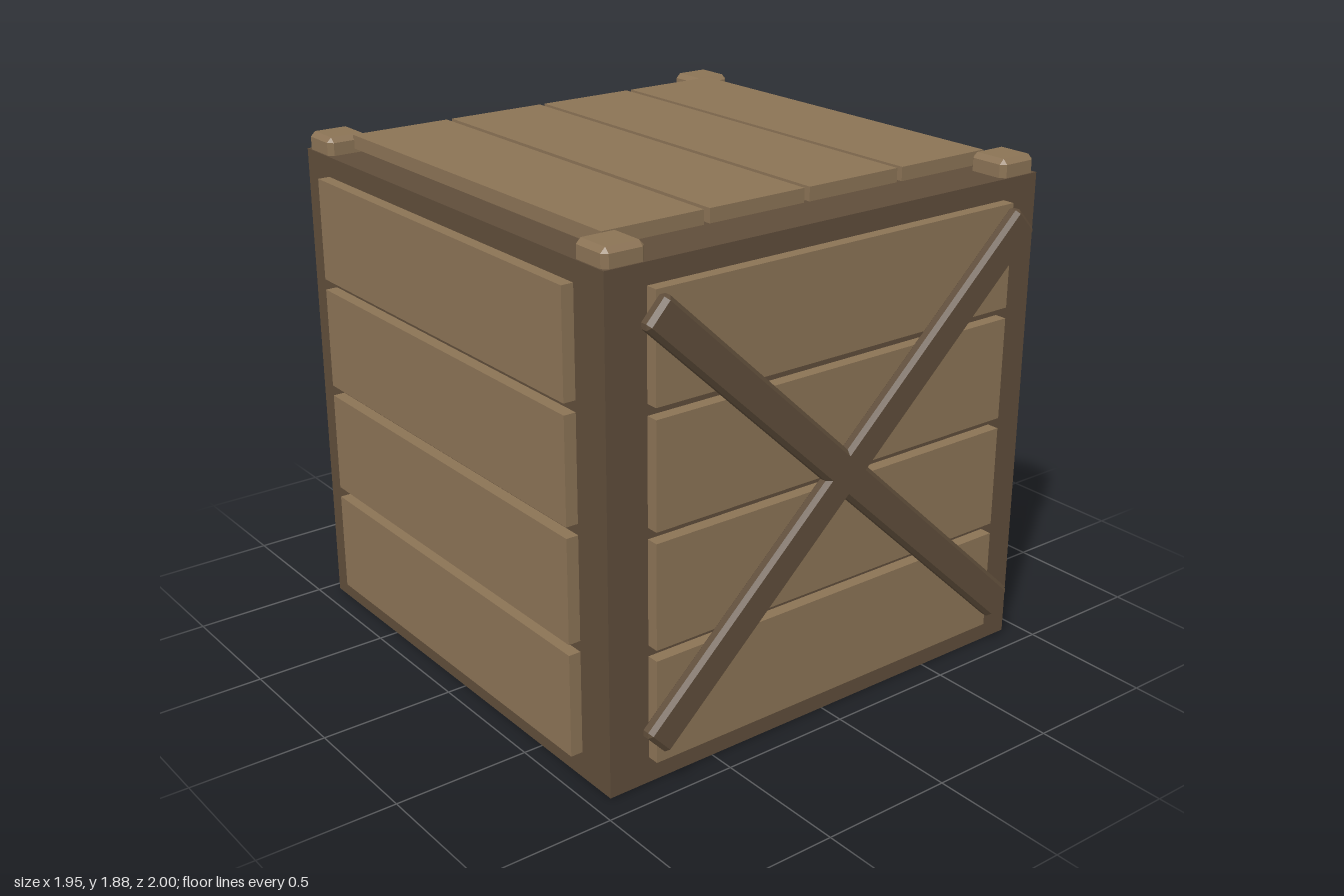
import * as THREE from 'three';
import { ConvexGeometry } from 'three/addons/geometries/ConvexGeometry.js';

// Box with all edges cut by a flat chamfer c
function chamferBox(w, h, d, c) {
  const half = [w / 2, h / 2, d / 2];
  const points = [];
  for (const sx of [-1, 1]) for (const sy of [-1, 1]) for (const sz of [-1, 1]) {
    for (let axis = 0; axis < 3; axis++) {
      const p = half.map((v, i) => (i === axis ? v : v - c));
      points.push(new THREE.Vector3(p[0] * sx, p[1] * sy, p[2] * sz));
    }
  }
  return new ConvexGeometry(points);
}

export function createModel() {
  const lightWood = new THREE.MeshStandardMaterial({ color: 0x8b7355 });
  lightWood.name = 'lightWood';
  const darkWood = new THREE.MeshStandardMaterial({ color: 0x5f4d3a });
  darkWood.name = 'darkWood';

  const crate = new THREE.Group();
  crate.name = 'crate';
  const add = (name, geometry, material, x, y, z) => {
    const mesh = new THREE.Mesh(geometry, material);
    mesh.name = name;
    mesh.position.set(x, y, z);
    crate.add(mesh);
    return mesh;
  };
  const zMid = -0.025;

  // Solid body, a hair above the feet of the corner posts
  add('body', new THREE.BoxGeometry(1.86, 1.812, 1.86), darkWood, 0, 0.909, zMid);

  // Four horizontal planks on each wall
  const longPlank = new THREE.BoxGeometry(1.545, 0.38, 0.05);
  const sidePlank = new THREE.BoxGeometry(0.05, 0.38, 1.545);
  for (let i = 0; i < 4; i++) {
    const y = 0.29 + i * 0.42;
    for (const s of [-1, 1]) {
      add(s > 0 ? 'frontPlank' : 'backPlank', longPlank, lightWood, 0, y, zMid + s * 0.95);
      add(s > 0 ? 'leftPlank' : 'rightPlank', sidePlank, lightWood, s * 0.95, y, zMid);
    }
  }

  // Lid planks, floating just above the body
  const lidPlank = new THREE.BoxGeometry(0.395, 0.05, 1.545);
  for (let i = 0; i < 4; i++) {
    add('lidPlank', lidPlank, lightWood, (i - 1.5) * 0.418, 1.855, zMid);
  }

  // Corner posts showing at top and bottom
  const post = chamferBox(0.16, 1.88, 0.16, 0.018);
  for (const sx of [-1, 1]) for (const sz of [-1, 1]) {
    add('cornerPost', post, lightWood, sx * 0.845, 0.94, zMid + sz * 0.845);
  }

  // Crossed braces on the front
  const brace = chamferBox(2.19, 0.13, 0.055, 0.015);
  for (const s of [-1, 1]) {
    add('frontBrace', brace, darkWood, 0, 0.943, 0.9725).rotation.z = s * Math.atan2(0.745, 0.8);
  }

  return crate;
}
